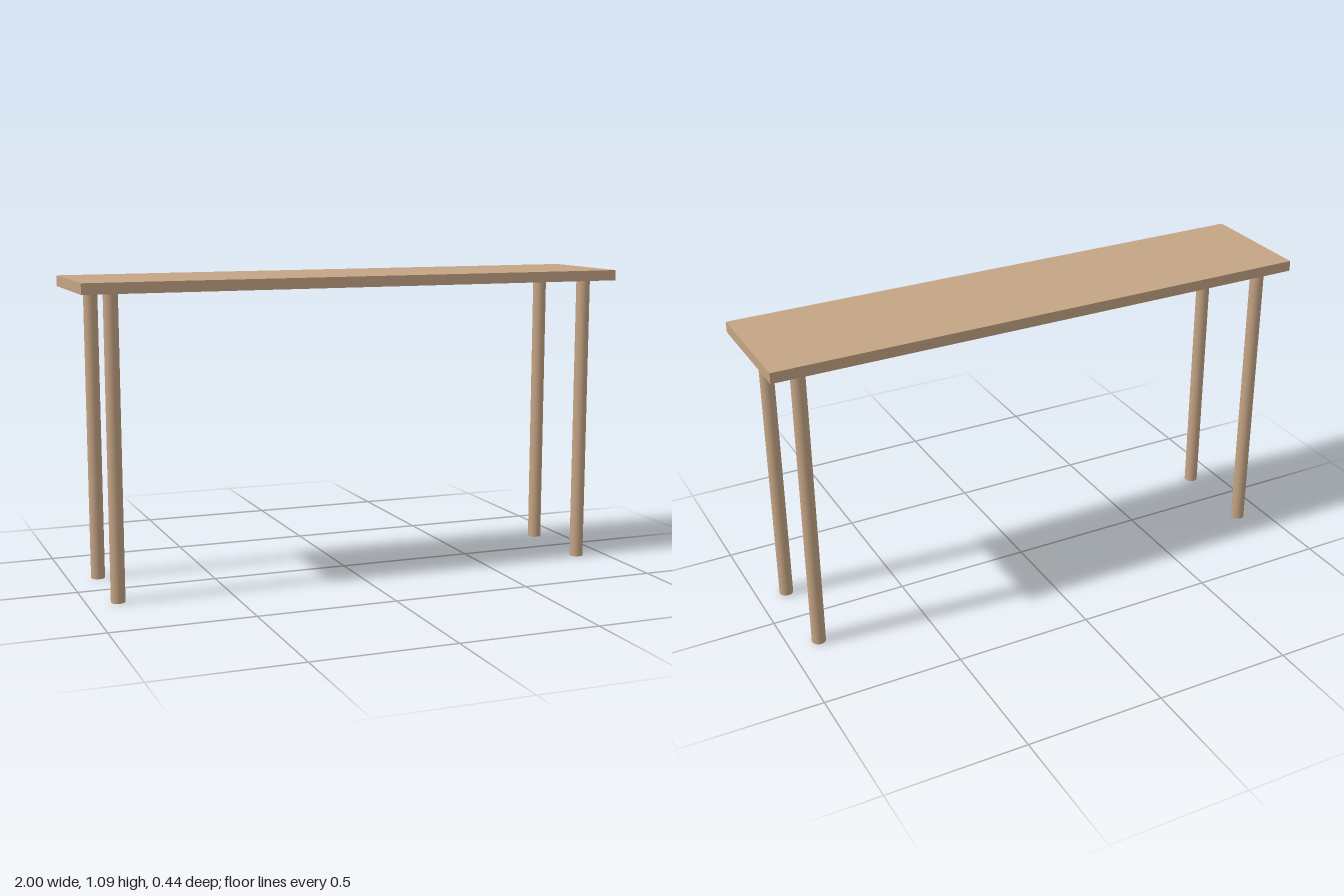
import * as THREE from 'three';

const WIDTH = 2, DEPTH = 0.44, HEIGHT = 1.094, THICKNESS = 0.038;
const LEG_RADIUS = 0.025, LEG_X = 0.893, LEG_Z = 0.168;

export function createModel() {
  const table = new THREE.Group();
  table.name = 'consoleTable';
  const wood = new THREE.MeshStandardMaterial({ color: 0xc4a484 });

  // Flat rectangular top
  const top = new THREE.Mesh(new THREE.BoxGeometry(WIDTH, THICKNESS, DEPTH), wood);
  top.name = 'tableTop';
  top.position.y = HEIGHT - THICKNESS / 2;
  table.add(top);

  // Four round legs, reaching the underside of the top
  const legHeight = HEIGHT - THICKNESS;
  const legGeometry = new THREE.CylinderGeometry(LEG_RADIUS, LEG_RADIUS, legHeight, 32);
  for (const [side, x] of [['Left', LEG_X], ['Right', -LEG_X]]) {
    for (const [end, z] of [['front', LEG_Z], ['back', -LEG_Z]]) {
      const leg = new THREE.Mesh(legGeometry, wood);
      leg.name = `${end}${side}Leg`;
      leg.position.set(x, legHeight / 2, z);
      table.add(leg);
    }
  }
  return table;
}
